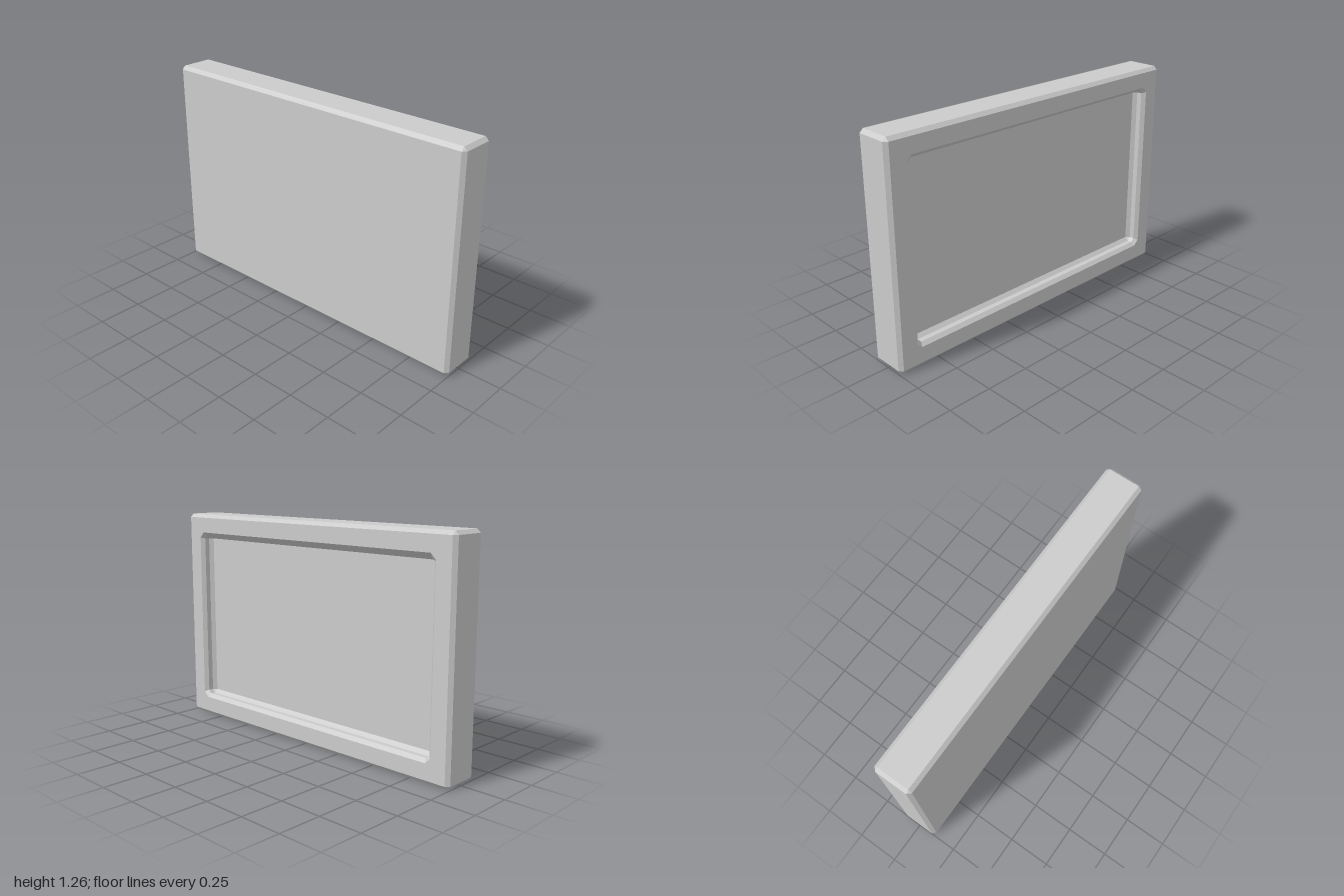
import * as THREE from 'three';

const HALF_W = 1, HALF_H = 0.6325, HALF_D = 0.11;
const BEVEL = 0.02;
const RIM = 0.11; // width of the border around the back recess
const DEPTH = 0.07; // depth of the back recess

// Rectangle inset from the outline, with clipped corners, counter-clockwise from +z
function ring(inset, cut, z) {
  const w = HALF_W - inset, h = HALF_H - inset;
  return [
    [w, -h + cut], [w, h - cut], [w - cut, h], [-w + cut, h],
    [-w, h - cut], [-w, -h + cut], [-w + cut, -h], [w - cut, -h],
  ].map(([x, y]) => new THREE.Vector3(x, y + HALF_H, z));
}

// Flat cap centre
function centre(z) {
  return Array.from({ length: 8 }, () => new THREE.Vector3(0, HALF_H, z));
}

// Skins consecutive rings with flat faces, skipping collapsed triangles
function skin(rings) {
  const positions = [];
  const area = new THREE.Triangle();
  const add = (a, b, c) => {
    if (area.set(a, b, c).getArea() > 1e-7) {
      for (const p of [a, b, c]) positions.push(p.x, p.y, p.z);
    }
  };
  for (let i = 0; i < rings.length - 1; i++) {
    for (let j = 0; j < 8; j++) {
      const k = (j + 1) % 8;
      add(rings[i][j], rings[i + 1][j], rings[i + 1][k]);
      add(rings[i][j], rings[i + 1][k], rings[i][k]);
    }
  }
  const geometry = new THREE.BufferGeometry();
  geometry.setAttribute('position', new THREE.Float32BufferAttribute(positions, 3));
  geometry.computeVertexNormals();
  return geometry;
}

export function createModel() {
  const group = new THREE.Group();
  group.name = 'panel';
  const material = new THREE.MeshStandardMaterial({ color: 0xcccccc, flatShading: true });

  // Bevelled slab: front face, sides and back border
  const rimCut = BEVEL * (3 - Math.SQRT2);
  const back = -HALF_D;
  const rim = ring(RIM, rimCut, back);
  const slab = new THREE.Mesh(skin([
    centre(HALF_D),
    ring(BEVEL, 0, HALF_D),
    ring(0, BEVEL, HALF_D - BEVEL),
    ring(0, BEVEL, back + BEVEL),
    ring(BEVEL, 0, back),
    rim,
  ]), material);
  slab.name = 'slab';

  // Recess in the back: chamfered rim, straight wall, chamfered foot, floor
  const recess = new THREE.Mesh(skin([
    rim,
    ring(RIM + BEVEL, BEVEL, back + BEVEL),
    ring(RIM + BEVEL, BEVEL, back + DEPTH - BEVEL),
    ring(RIM + 2 * BEVEL, 0, back + DEPTH),
    centre(back + DEPTH),
  ]), material);
  recess.name = 'backRecess';

  group.add(slab, recess);
  return group;
}
